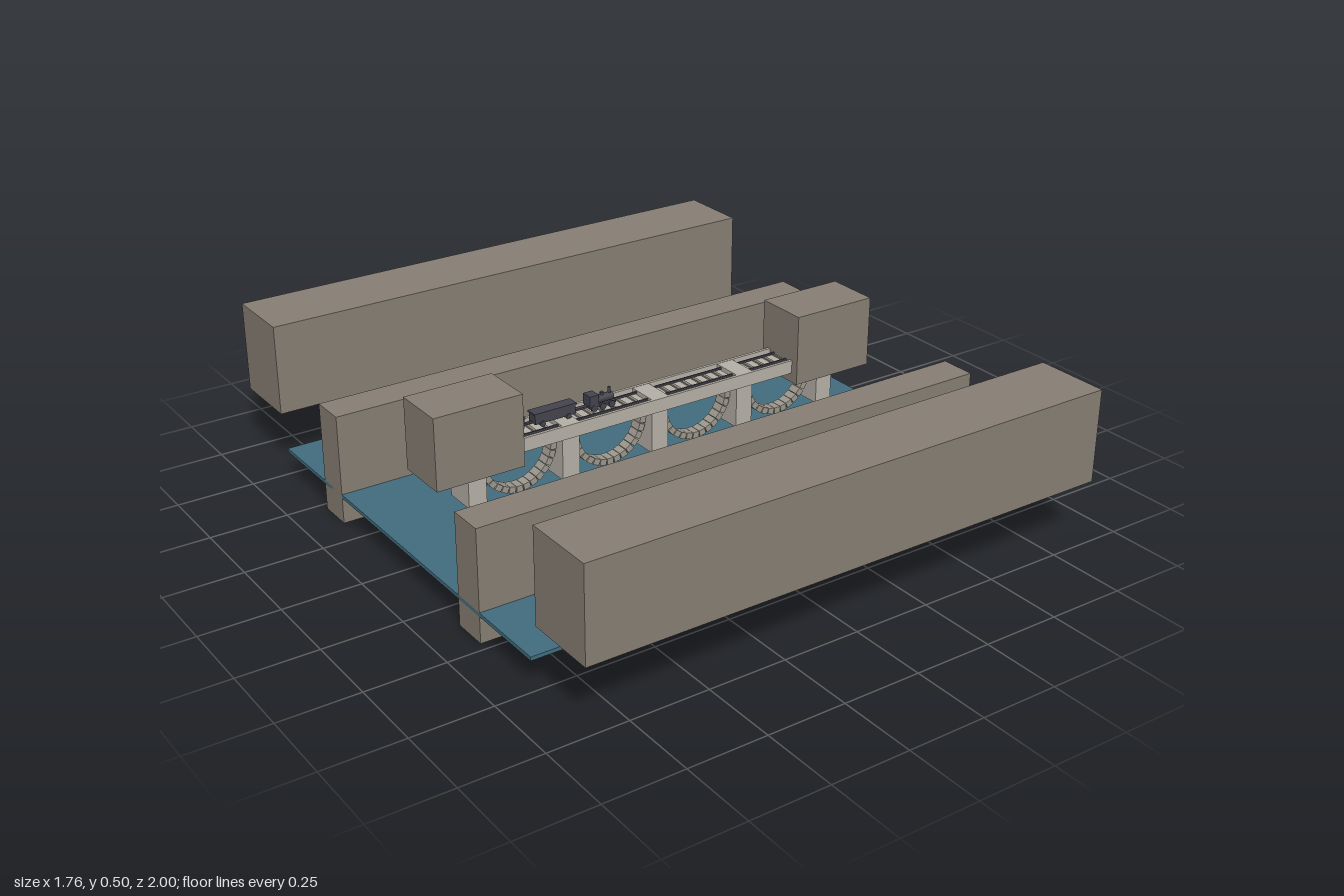
import * as THREE from 'three';

const paint = (name, color) => {
  const m = new THREE.MeshStandardMaterial({ color });
  m.name = name;
  return m;
};

export function createModel() {
  const rock = paint('rock', 0x877e73);
  const water = paint('water', 0x426c7d);
  const stone = paint('stone', 0xb5b0a6);
  const archStone = paint('arch stone', 0x9c978d);
  const iron = paint('dark iron', 0x44434e);
  const timber = paint('sleeper timber', 0x8b857c);
  const model = new THREE.Group();
  model.name = 'viaductValley';

  // Box given by its lower and upper limits on each axis
  const box = (name, mat, x0, x1, y0, y1, z0, z1, parent = model) => {
    const m = new THREE.Mesh(new THREE.BoxGeometry(x1 - x0, y1 - y0, z1 - z0), mat);
    m.position.set((x0 + x1) / 2, (y0 + y1) / 2, (z0 + z1) / 2);
    m.name = name;
    parent.add(m);
    return m;
  };
  const cylinder = (name, mat, r, len, x, y, z, axis, parent) => {
    const m = new THREE.Mesh(new THREE.CylinderGeometry(r, r, len, 12), mat);
    if (axis === 'x') m.rotation.z = Math.PI / 2;
    if (axis === 'z') m.rotation.x = Math.PI / 2;
    m.position.set(x, y, z);
    m.name = name;
    parent.add(m);
  };

  // Valley: water sheet, banks, outer cliffs and tunnel blocks
  box('water', water, -0.88, 0.88, 0.085, 0.097, -0.735, 0.735);
  for (const s of [-1, 1]) {
    const span = (a, b) => (s > 0 ? [a, b] : [-b, -a]);
    box('outerCliff', rock, -0.88, 0.88, 0.205, 0.5, ...span(0.765, 1));
    box('innerBank', rock, -0.88, 0.88, 0, 0.355, ...span(0.355, 0.47));
    box('tunnelBlock', rock, ...span(0.5, 0.79), 0.27, 0.5, -0.088, 0.088);
  }

  // Viaduct deck with low parapets
  const viaduct = new THREE.Group();
  viaduct.name = 'viaduct';
  model.add(viaduct);
  box('deck', stone, -0.67, 0.67, 0.3, 0.33, -0.06, 0.06, viaduct);
  for (const s of [-1, 1])
    box('parapet', stone, -0.67, 0.67, 0.33, 0.345, s * 0.057 - 0.005, s * 0.057 + 0.005, viaduct);

  // Piers rise through the deck
  for (let i = -2; i <= 2; i++)
    box('pier', stone, i * 0.32 - 0.03, i * 0.32 + 0.03, 0.165, 0.344, -0.053, 0.053, viaduct);

  // Hanging half rings of separate stone blocks between the piers
  const count = 15;
  for (let i = 0; i < 4; i++) {
    const cx = -0.48 + i * 0.32;
    for (let k = 0; k < count; k++) {
      const a = Math.PI + (Math.PI * (k + 0.5)) / count;
      const b = box('archBlock', archStone, -0.01, 0.01, -0.011, 0.011, -0.02, 0.02, viaduct);
      b.position.set(cx + 0.12 * Math.cos(a), 0.281 + 0.12 * Math.sin(a), 0);
      b.rotation.z = a;
    }
  }

  // Track
  const track = new THREE.Group();
  track.name = 'track';
  model.add(track);
  for (let x = -0.62; x < 0.63; x += 0.04)
    box('sleeper', timber, x - 0.005, x + 0.005, 0.33, 0.335, -0.04, 0.04, track);
  for (const z of [-0.03, 0.03])
    box('rail', iron, -0.66, 0.66, 0.335, 0.341, z - 0.003, z + 0.003, track);

  // Train: two carriages, tender and locomotive
  const train = new THREE.Group();
  train.name = 'train';
  model.add(train);
  for (const [x0, x1] of [[-0.6, -0.457], [-0.42, -0.28]]) {
    box('carriage', iron, x0, x1, 0.352, 0.382, -0.018, 0.018, train);
    box('carriageRoof', iron, x0 - 0.003, x1 + 0.003, 0.382, 0.387, -0.02, 0.02, train);
    for (const x of [x0 + 0.025, x1 - 0.025])
      for (const z of [-0.018, 0.018]) cylinder('wheel', iron, 0.009, 0.006, x, 0.35, z, 'z', train);
  }
  box('coupling', iron, -0.28, -0.225, 0.353, 0.359, -0.007, 0.007, train);
  box('coupling', iron, -0.457, -0.42, 0.353, 0.359, -0.004, 0.004, train);
  box('engineFrame', iron, -0.23, -0.135, 0.351, 0.358, -0.016, 0.016, train);
  box('engineCab', iron, -0.23, -0.198, 0.358, 0.392, -0.019, 0.019, train);
  cylinder('boiler', iron, 0.013, 0.06, -0.17, 0.37, 0, 'x', train);
  cylinder('chimney', iron, 0.005, 0.022, -0.15, 0.389, 0, 'y', train);
  cylinder('steamDome', iron, 0.006, 0.01, -0.176, 0.385, 0, 'y', train);
  for (const x of [-0.215, -0.184, -0.152])
    for (const z of [-0.018, 0.018]) cylinder('engineWheel', iron, 0.011, 0.006, x, 0.351, z, 'z', train);

  return model;
}
